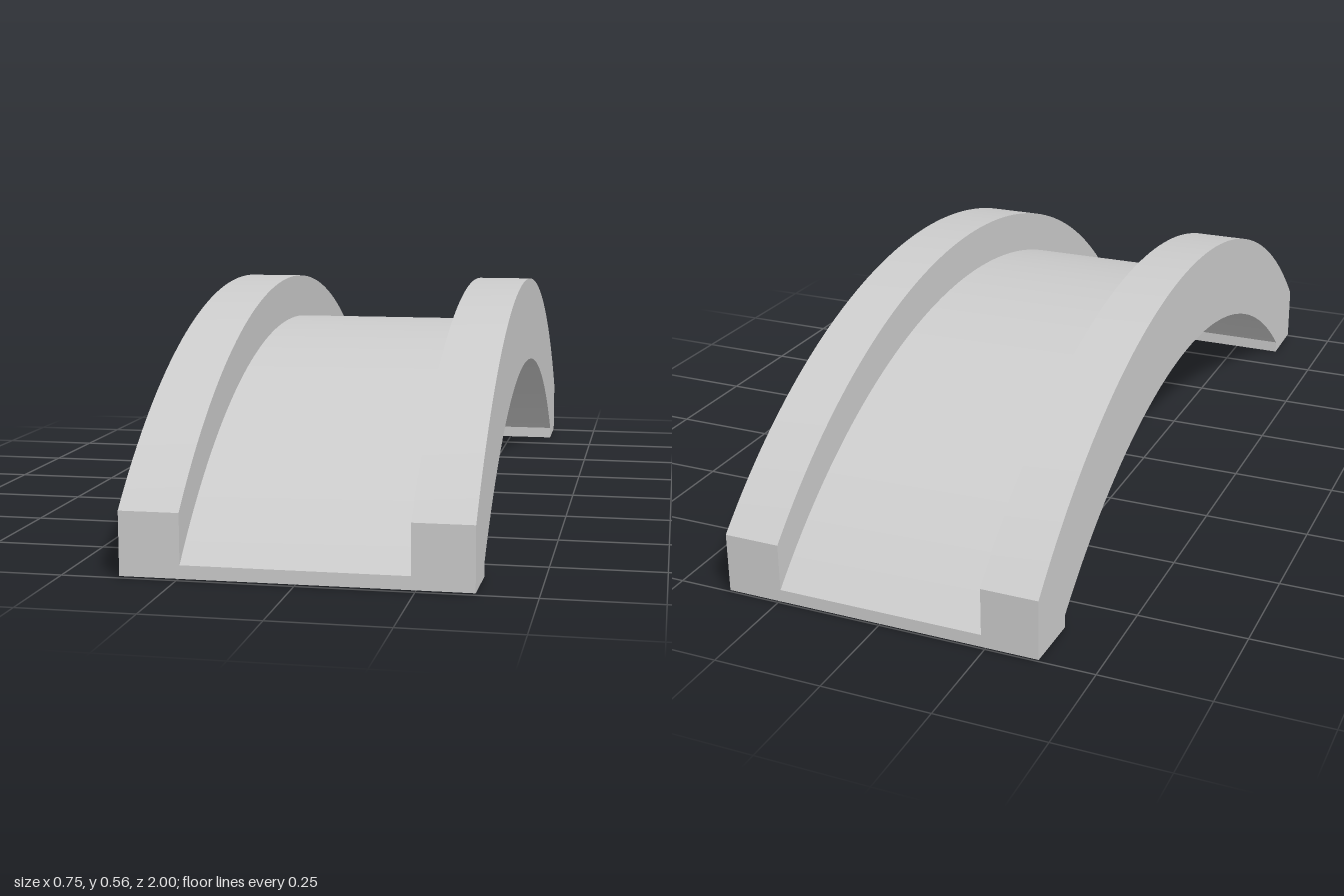
import * as THREE from 'three';
import { toCreasedNormals } from 'three/addons/utils/BufferGeometryUtils.js';

const HALF_LENGTH = 1, HALF_WIDTH = 0.373, CHANNEL = 0.242;
const FOOT_INNER = 0.855, FOOT_TOP = 0.03, FOOT_OUTER_Y = 0.004;

// Circle through (0, top) and (±half, end)
function arc(top, half, end) {
  const s = top - end;
  const radius = (half * half + s * s) / (2 * s);
  return { radius, centre: top - radius, angle: Math.asin(half / radius) };
}

// Arch cross-section with flat feet, extruded across the width from x0 to x1
function archSlab(name, topY, endY, x0, x1, material) {
  const outer = arc(topY, HALF_LENGTH, endY);
  const inner = arc(0.343, FOOT_INNER, FOOT_TOP);
  const up = Math.PI / 2;
  const shape = new THREE.Shape();
  shape.moveTo(HALF_LENGTH, FOOT_OUTER_Y);
  shape.lineTo(HALF_LENGTH, endY);
  shape.absarc(0, outer.centre, outer.radius, up - outer.angle, up + outer.angle, false);
  shape.lineTo(-HALF_LENGTH, FOOT_OUTER_Y);
  shape.lineTo(-FOOT_INNER, 0);
  shape.lineTo(-FOOT_INNER, FOOT_TOP);
  shape.absarc(0, inner.centre, inner.radius, up + inner.angle, up - inner.angle, true);
  shape.lineTo(FOOT_INNER, 0);
  shape.closePath();

  const geometry = new THREE.ExtrudeGeometry(shape, { depth: x1 - x0, bevelEnabled: false, curveSegments: 32 });
  geometry.rotateY(Math.PI / 2);
  geometry.translate(x0, 0, 0);
  const mesh = new THREE.Mesh(toCreasedNormals(geometry, 0.3), material);
  mesh.name = name;
  return mesh;
}

export function createModel() {
  const material = new THREE.MeshStandardMaterial({ color: 0xcccccc });
  const group = new THREE.Group();
  group.name = 'channelledArch';
  // Raised rails on both sides of the lower channel floor
  group.add(
    archSlab('leftRail', 0.555, 0.143, CHANNEL, HALF_WIDTH, material),
    archSlab('rightRail', 0.555, 0.143, -HALF_WIDTH, -CHANNEL, material),
    archSlab('channelFloor', 0.447, 0.033, -CHANNEL, CHANNEL, material),
  );
  return group;
}
